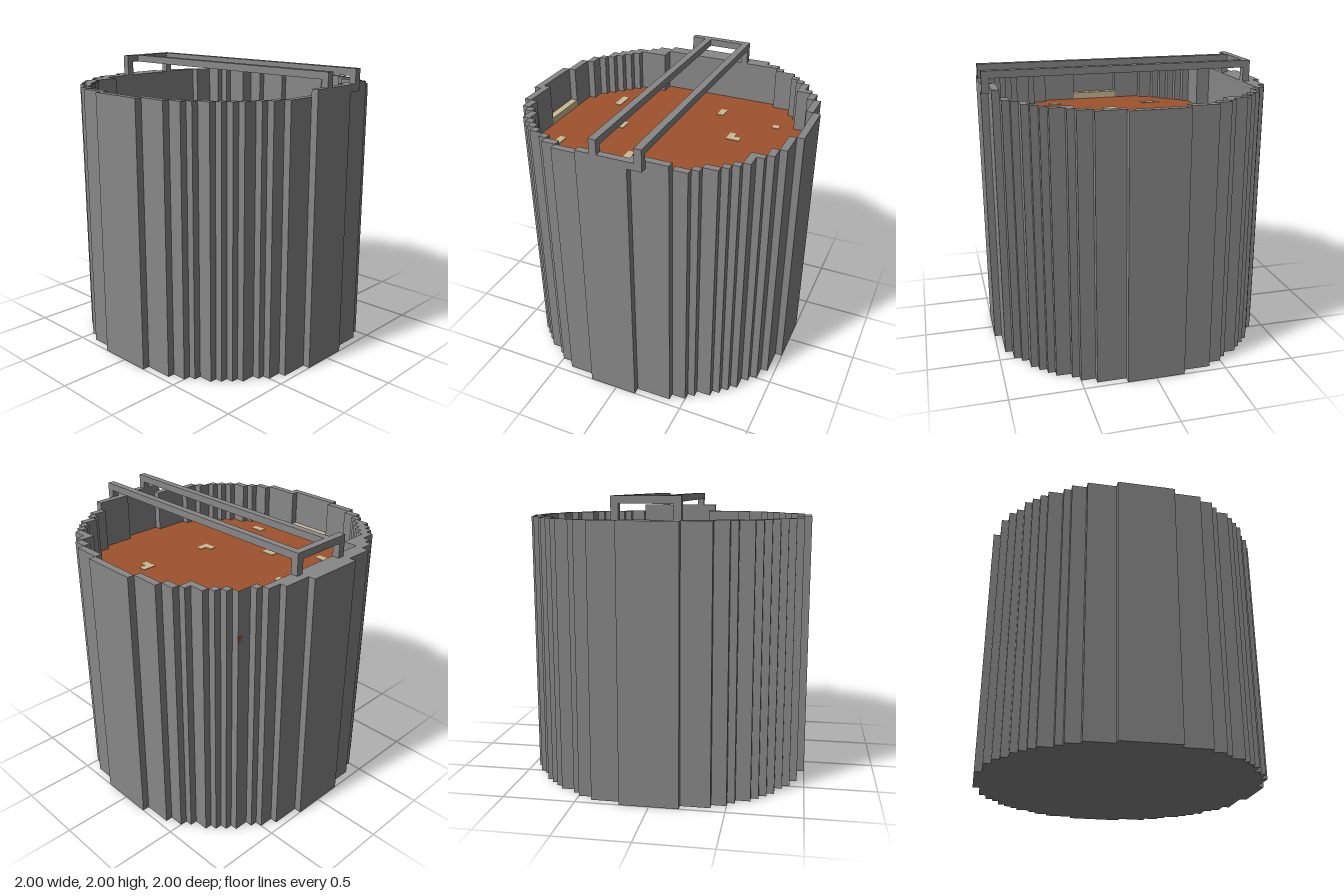
import * as THREE from 'three';

const mat = (name, color) => {
  const m = new THREE.MeshStandardMaterial({ color });
  m.name = name;
  return m;
};

// Each row is [far z edge, left x, right x]; rows run from back to front.
function steppedOutline(zStart, rows) {
  const leftSide = [], rightSide = [];
  let z = zStart;
  for (const [zEnd, x0, x1] of rows) {
    leftSide.push([x0, z], [x0, zEnd]);
    rightSide.push([x1, z], [x1, zEnd]);
    z = zEnd;
  }
  const loop = [...leftSide, ...rightSide.reverse()]
    .filter((p, i, a) => i === 0 || p[0] !== a[i - 1][0] || p[1] !== a[i - 1][1]);
  return loop.map(([x, zz]) => new THREE.Vector2(x, -zz));
}

// Upright prism between two heights
function prism(shape, y0, y1) {
  const g = new THREE.ExtrudeGeometry(shape, { depth: y1 - y0, bevelEnabled: false });
  return g.rotateX(-Math.PI / 2).translate(0, y0, 0);
}

export function createModel() {
  const model = new THREE.Group();
  model.name = 'bucket';
  const metal = mat('grey metal', 0x888888);
  const soup = mat('brown liquid', 0xa0522d);
  const cream = mat('cream chunks', 0xc9ba94);

  const add = (name, geometry, material) => {
    const m = new THREE.Mesh(geometry, material);
    m.name = name;
    model.add(m);
  };
  const box = (name, material, x0, x1, y0, y1, z0, z1) => add(name,
    new THREE.BoxGeometry(x1 - x0, y1 - y0, z1 - z0)
      .translate((x0 + x1) / 2, (y0 + y1) / 2, (z0 + z1) / 2), material);

  // Outer stepped circle, mirrored front to back
  const steps = [[-0.95, 0.2], [-0.9, 0.4], [-0.85, 0.5], [-0.8, 0.55], [-0.75, 0.65], [-0.7, 0.7],
    [-0.65, 0.75], [-0.55, 0.8], [-0.5, 0.85], [-0.4, 0.9], [-0.2, 0.95]];
  const starts = [-1, ...steps.map((s) => s[0])];
  const outer = steppedOutline(-1, [
    ...steps.map(([z, w]) => [z, -w, w]),
    [-0.15, -1, 0.95], [0.2, -1, 1],
    ...steps.map(([, w], i) => [-starts[i], -w, w]).reverse(),
  ]);

  // Inner stepped outline
  const inner = steppedOutline(-0.95, [
    [-0.9, -0.2, 0.2], [-0.85, -0.4, 0.4], [-0.75, -0.5, 0.5], [-0.7, -0.65, 0.65],
    [-0.65, -0.7, 0.7], [-0.55, -0.8, 0.75], [-0.5, -0.8, 0.8], [-0.4, -0.85, 0.85],
    [-0.15, -0.85, 0.9], [0.15, -0.85, 0.95], [0.4, -0.85, 0.9], [0.5, -0.75, 0.85],
    [0.6, -0.75, 0.8], [0.65, -0.7, 0.75], [0.7, -0.65, 0.7], [0.75, -0.6, 0.65],
    [0.8, -0.55, 0.55], [0.85, -0.5, 0.5], [0.9, -0.4, 0.4], [0.95, -0.2, 0.15],
  ]);

  // Wall, floor and contents
  const wall = new THREE.Shape(outer);
  wall.holes.push(new THREE.Path(inner));
  add('wall', prism(wall, 0, 1.85), metal);
  add('floor', prism(new THREE.Shape(inner), 0, 0.05), metal);
  add('liquid', prism(new THREE.Shape(inner), 1.5, 1.55), soup);

  // Chunks floating flush with the surface: [x0, x1, z0, z1]
  const chunks = [
    [-0.5, -0.45, -0.65, -0.6], [-0.25, -0.15, -0.4, -0.35], [-0.2, -0.15, -0.45, -0.4],
    [0.35, 0.45, -0.4, -0.35], [0.35, 0.4, -0.45, -0.4], [-0.6, -0.5, -0.2, -0.15],
    [-0.45, -0.4, 0.1, 0.15], [0.3, 0.4, 0.15, 0.2], [0.35, 0.4, 0.1, 0.15],
    [-0.1, 0, 0.4, 0.5], [-0.5, -0.35, 0.6, 0.65], [0.3, 0.4, 0.7, 0.75],
  ];
  for (const [x0, x1, z0, z1] of chunks) box('chunk', cream, x0, x1, 1.549, 1.554, z0, z1);
  box('edgeChunk', cream, -0.2, 0.15, 1.5, 1.6, 0.9, 0.95);

  // Raised rim on the left side
  box('raisedRim', metal, 0.9, 0.95, 1.85, 1.9, -0.4, -0.15);
  box('raisedRim', metal, 0.95, 1, 1.85, 1.9, -0.15, 0.2);

  // Handle: two rails, a cross bar, posts and a hinge foot
  box('handleRail', metal, -0.85, 1, 1.95, 2, -0.25, -0.2);
  box('handleRail', metal, -0.85, 1, 1.95, 2, 0.05, 0.1);
  box('handleCrossBar', metal, -0.9, -0.85, 1.95, 2, -0.25, 0.2);
  for (const z of [-0.25, 0.15]) box('handlePost', metal, -0.9, -0.85, 1.85, 1.95, z, z + 0.05);
  for (const z of [-0.25, 0.05]) box('handlePost', metal, 0.95, 1, 1.9, 1.95, z, z + 0.05);
  box('handleFoot', metal, 0.95, 1, 1.85, 1.9, -0.25, -0.15);

  return model;
}
